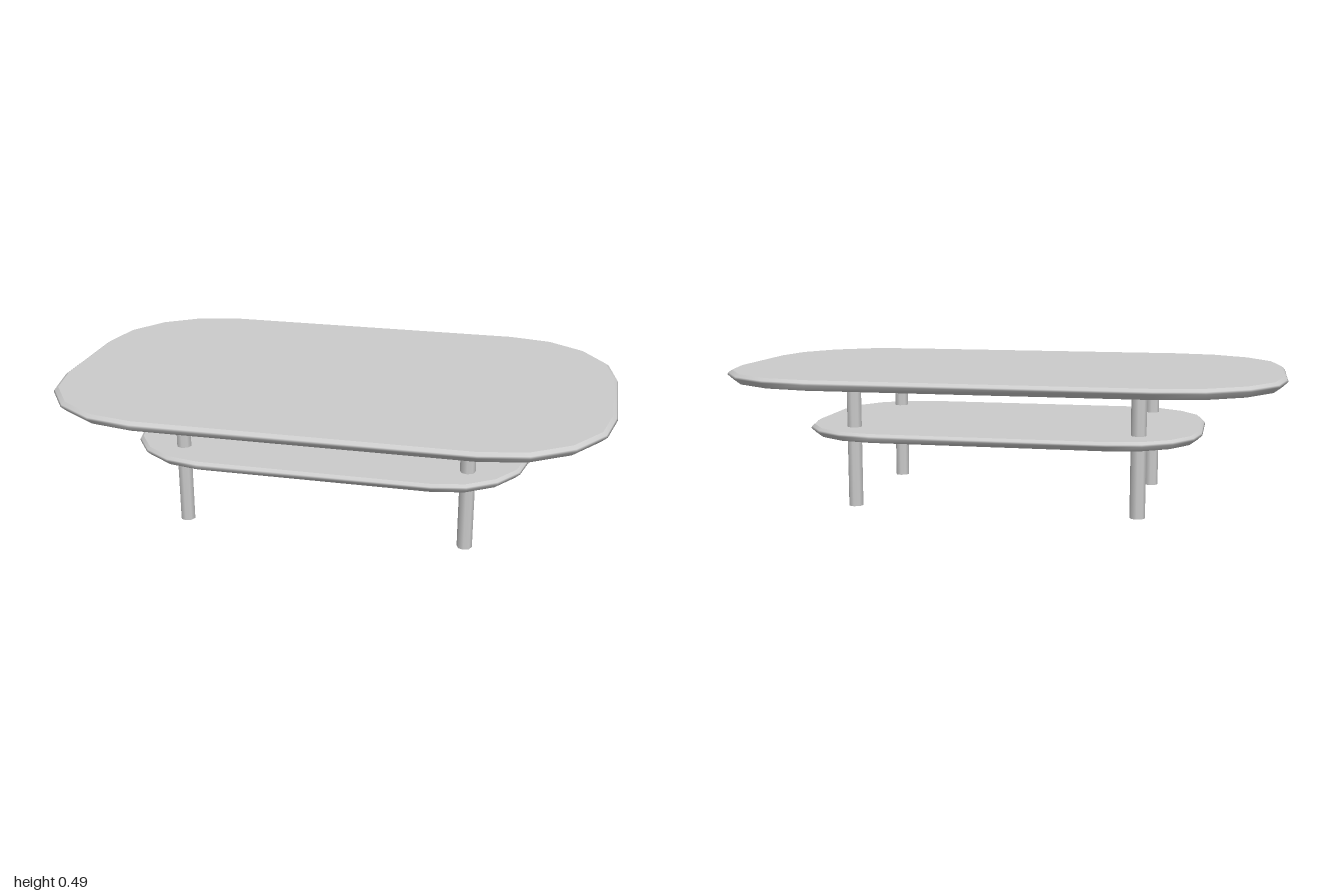
import * as THREE from 'three';

const CORNER_STEPS = 4;

// Rounded rectangle outline at height y, as points running from +x towards +z
function outline(halfX, halfZ, radius, inset, y) {
  const points = [];
  const corners = [[1, 1], [-1, 1], [-1, -1], [1, -1]];
  corners.forEach(([sx, sz], quarter) => {
    for (let i = 0; i <= CORNER_STEPS; i++) {
      const a = (quarter + i / CORNER_STEPS) * Math.PI / 2;
      points.push([
        sx * (halfX - radius) + (radius - inset) * Math.cos(a),
        y,
        sz * (halfZ - radius) + (radius - inset) * Math.sin(a),
      ]);
    }
  });
  return points;
}

// Slab with a bevelled, smooth rim and flat caps
function slabGeometry(halfX, halfZ, radius, profile) {
  const rings = profile.map(([inset, y]) => outline(halfX, halfZ, radius, inset, y));
  const n = rings[0].length;
  const positions = rings.flat(2);
  const index = [];
  for (let r = 0; r < rings.length - 1; r++) {
    for (let i = 0; i < n; i++) {
      const j = (i + 1) % n;
      const a = r * n, b = a + n;
      index.push(a + i, b + i, a + j, b + i, b + j, a + j);
    }
  }
  // Caps use their own vertices so their edges stay sharp
  [rings[0], rings[rings.length - 1]].forEach((ring, top) => {
    const base = positions.length / 3;
    positions.push(...ring.flat());
    for (let i = 1; i < n - 1; i++) {
      if (top) index.push(base, base + i + 1, base + i);
      else index.push(base, base + i, base + i + 1);
    }
  });
  const geometry = new THREE.BufferGeometry();
  geometry.setAttribute('position', new THREE.Float32BufferAttribute(positions, 3));
  geometry.setIndex(index);
  geometry.computeVertexNormals();
  return geometry;
}

export function createModel() {
  const group = new THREE.Group();
  const material = new THREE.MeshStandardMaterial({ color: 0xcccccc });

  const add = (name, geometry) => {
    const mesh = new THREE.Mesh(geometry, material);
    mesh.name = name;
    group.add(mesh);
    return mesh;
  };

  // Table top
  add('tableTop', slabGeometry(1, 0.615, 0.425,
    [[0.022, 0.456], [0, 0.476], [0.004, 0.483], [0.017, 0.492]]));

  // Lower shelf, a smaller slab of the same shape
  add('shelf', slabGeometry(0.715, 0.443, 0.304,
    [[0.018, 0.257], [0, 0.274], [0.003, 0.281], [0.013, 0.289]]));

  // Four round legs running through the shelf up to the top
  const legHeight = 0.46;
  const legGeometry = new THREE.CylinderGeometry(0.027, 0.027, legHeight, 8);
  for (const [xName, x] of [['Left', 0.517], ['Right', -0.504]]) {
    for (const [zName, z] of [['front', 0.301], ['back', -0.28]]) {
      add(`${zName}${xName}Leg`, legGeometry).position.set(x, legHeight / 2, z);
    }
  }
  return group;
}
